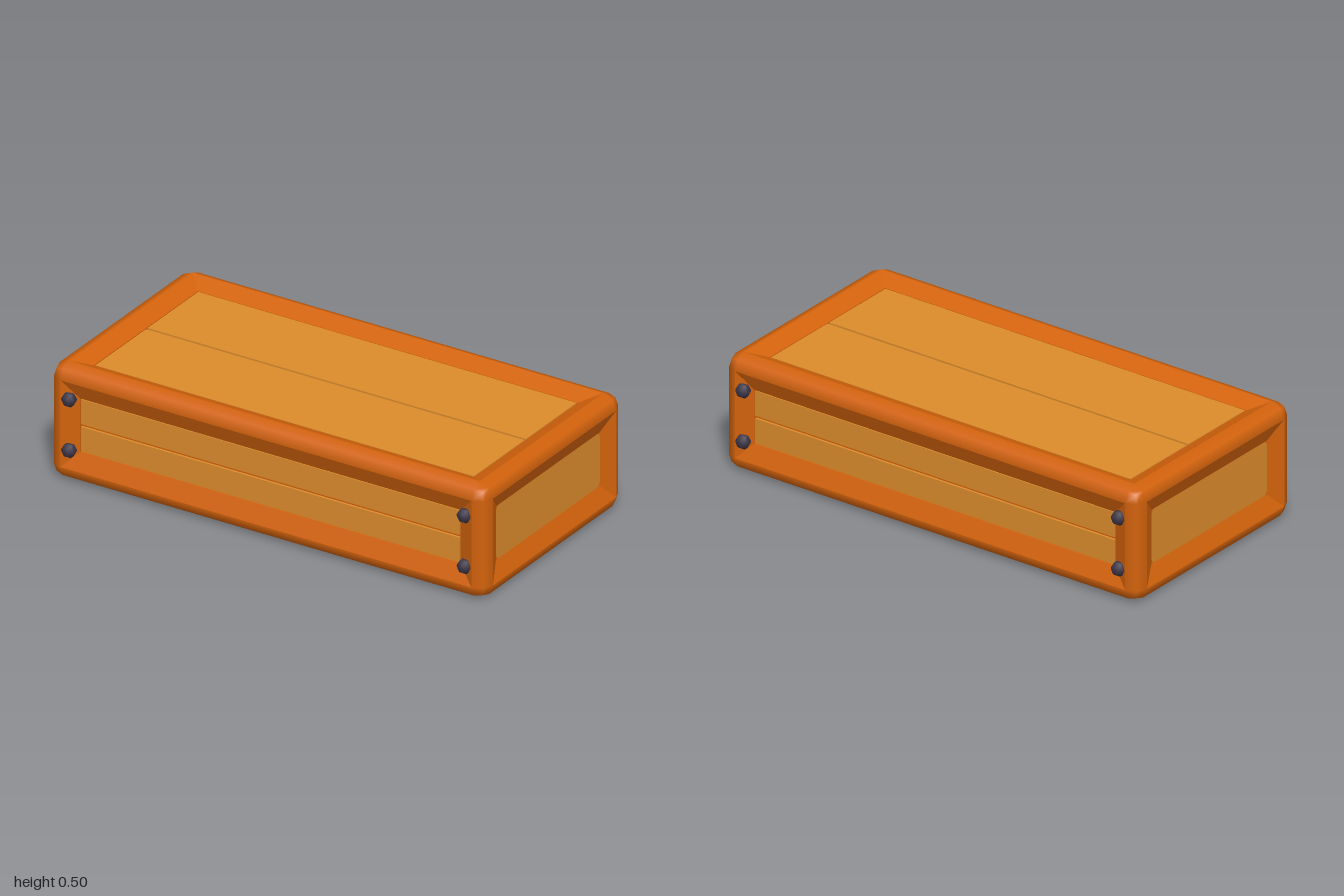
import * as THREE from 'three';
import { RoundedBoxGeometry } from 'three/addons/geometries/RoundedBoxGeometry.js';

const W = 2, H = 0.495, D = 1, R = 0.06, MID = H / 2;
const HOLE_X = 0.87, HOLE_Y = 0.116, HOLE_Z = 0.37;
const SINK = 0.031, GROOVE = 0.041;

function material(name, color) {
  const m = new THREE.MeshStandardMaterial({ color });
  m.name = name;
  return m;
}

function roundedRectangle(hw, hh, r) {
  const s = new THREE.Shape();
  s.absarc(hw - r, hh - r, r, 0, Math.PI / 2);
  s.absarc(-hw + r, hh - r, r, Math.PI / 2, Math.PI);
  s.absarc(-hw + r, -hh + r, r, Math.PI, Math.PI * 1.5);
  s.absarc(hw - r, -hh + r, r, Math.PI * 1.5, Math.PI * 2);
  return s;
}

// Rounded edges and corners only: the six flat faces are left open for the sunken sides
function roundedEdges() {
  const g = new RoundedBoxGeometry(W, H, D, 1, R);
  const p = g.attributes.position, n = g.attributes.normal;
  const pos = [], nor = [];
  for (let i = 0; i < p.count; i += 3) {
    const flat = [[0, W], [1, H], [2, D]].some(([axis, size]) =>
      [i, i + 1, i + 2].every(k => Math.abs(p.getComponent(k, axis)) > size / 2 - 1e-4));
    if (flat) continue;
    for (let k = i; k < i + 3; k++) {
      pos.push(p.getX(k), p.getY(k), p.getZ(k));
      nor.push(n.getX(k), n.getY(k), n.getZ(k));
    }
  }
  const out = new THREE.BufferGeometry();
  out.setAttribute('position', new THREE.Float32BufferAttribute(pos, 3));
  out.setAttribute('normal', new THREE.Float32BufferAttribute(nor, 3));
  return out;
}

// Skin between nested rectangles [halfWidth, halfHeight, z], facing +z and inwards
function rectangleLoft(rings) {
  const pos = [];
  const signs = [[-1, -1], [1, -1], [1, 1], [-1, 1]];
  const corner = ([hw, hh, z], i) => [signs[i % 4][0] * hw, signs[i % 4][1] * hh, z];
  for (let r = 0; r < rings.length - 1; r++) {
    for (let i = 0; i < 4; i++) {
      const a = corner(rings[r], i), b = corner(rings[r], i + 1);
      const c = corner(rings[r + 1], i + 1), d = corner(rings[r + 1], i);
      pos.push(...a, ...b, ...c, ...a, ...c, ...d);
    }
  }
  const g = new THREE.BufferGeometry();
  g.setAttribute('position', new THREE.Float32BufferAttribute(pos, 3));
  g.computeVertexNormals();
  return g;
}

export function createModel() {
  const root = new THREE.Group();
  root.name = 'crate';
  const frameMat = material('orange wood', 0xd4630c);
  const plankMat = material('light wood', 0xdc8c2c);
  const boltMat = material('dark metal', 0x3c3546);

  function add(parent, name, geometry, mat, x = 0, y = 0, z = 0) {
    const m = new THREE.Mesh(geometry, mat);
    m.name = name;
    m.position.set(x, y, z);
    parent.add(m);
    return m;
  }

  add(root, 'roundedEdges', roundedEdges(), frameMat, 0, MID, 0);

  // Side sloping down to a sunken floor, facing +z, with two planks or one plain panel
  function sunkenSide(name, outer, hole, planked) {
    const side = new THREE.Group();
    side.name = name;
    const [hx, hy] = hole;
    const floor = planked ? GROOVE : SINK;
    const rings = [[...outer, 0], [hx, hy, -SINK]];
    if (planked) rings.push([hx, hy, -GROOVE]);
    add(side, 'slopedFrame', rectangleLoft(rings), frameMat);
    add(side, 'floor', new THREE.PlaneGeometry(hx * 2, hy * 2), frameMat, 0, 0, -floor);
    if (planked) {
      const height = hy - 0.009, depth = GROOVE - SINK;
      for (const s of [-1, 1]) {
        add(side, 'plank', new THREE.BoxGeometry(hx * 2 - 0.008, height, depth),
          plankMat, 0, s * (0.006 + height / 2), -SINK - depth / 2);
      }
    } else {
      add(side, 'panel', new THREE.ShapeGeometry(roundedRectangle(hx, hy, 0.02), 4),
        plankMat, 0, 0, -floor + 0.001);
    }
    root.add(side);
    return side;
  }

  const flatX = W / 2 - R, flatY = H / 2 - R, flatZ = D / 2 - R;
  const top = sunkenSide('topSide', [flatX, flatZ], [HOLE_X, HOLE_Z], true);
  top.rotation.x = -Math.PI / 2;
  top.position.y = H;
  const bottom = sunkenSide('bottomSide', [flatX, flatZ], [HOLE_X, HOLE_Z], false);
  bottom.rotation.x = Math.PI / 2;
  for (const s of [-1, 1]) {
    const long = sunkenSide(s > 0 ? 'frontSide' : 'backSide', [flatX, flatY], [HOLE_X, HOLE_Y], true);
    long.rotation.y = s > 0 ? 0 : Math.PI;
    long.position.set(0, MID, s * D / 2);
    const end = sunkenSide(s > 0 ? 'leftEnd' : 'rightEnd', [flatZ, flatY], [HOLE_Z, HOLE_Y], false);
    end.rotation.y = s * Math.PI / 2;
    end.position.set(s * W / 2, MID, 0);
  }

  // Six-sided bolts at the corners of the front and back
  const profile = [[0.02, -0.032], [0.03, -0.014], [0.03, 0.005], [0.017, 0.02], [0, 0.02]]
    .map(p => new THREE.Vector2(...p));
  const boltGeometry = new THREE.LatheGeometry(profile, 6, Math.PI / 2);
  boltGeometry.rotateX(Math.PI / 2);
  for (const sx of [-1, 1]) for (const y of [0.14, 0.36]) for (const sz of [-1, 1]) {
    add(root, 'bolt', boltGeometry, boltMat, sx * 0.905, y, sz * D / 2)
      .rotation.y = sz > 0 ? 0 : Math.PI;
  }
  return root;
}
